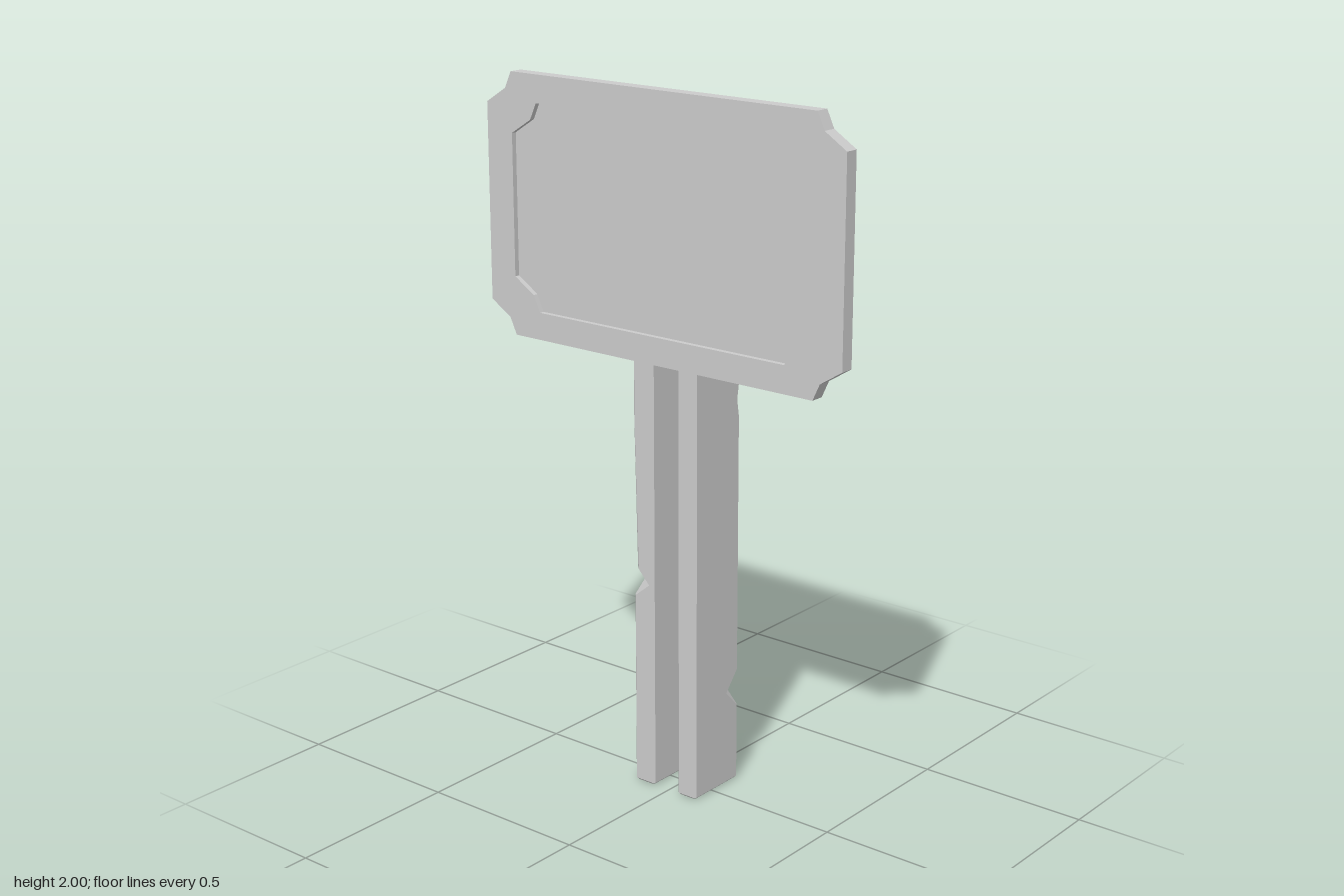
import * as THREE from 'three';

const material = new THREE.MeshStandardMaterial({ color: 0xcccccc, flatShading: true });

// Rectangle outline with notched corners, centred on the origin
function notched(Kind, halfW, halfH) {
  const pts = [];
  for (const [sx, sy, flip] of [[1, 1, 0], [-1, 1, 1], [-1, -1, 0], [1, -1, 1]]) {
    const corner = [[0, 0.09], [0.068, 0.047], [0.09, 0]];
    if (flip) corner.reverse();
    for (const [dx, dy] of corner) pts.push(new THREE.Vector2(sx * (halfW - dx), sy * (halfH - dy)));
  }
  return new Kind(pts);
}

// Slab in the z-y plane, growing from xStart towards -x
function slab(shape, xStart, depth, name) {
  const geo = new THREE.ExtrudeGeometry(shape, { depth, bevelEnabled: false });
  geo.rotateY(-Math.PI / 2);
  const mesh = new THREE.Mesh(geo, material);
  mesh.position.set(xStart, 1.6325, 0);
  mesh.name = name;
  return mesh;
}

// Channel section of the post (x, z); the slot opens towards -x
const SECTION = [
  [0.115, -0.12], [0.115, 0.1], [-0.08, 0.1], [-0.08, 0.035],
  [0.05, 0.035], [0.05, -0.05], [-0.08, -0.05], [-0.08, -0.12],
];
const EDGE = 0.006, HEIGHT = 1.59;

// Chips per section corner: [height, cut size] keys along the edge
const CHIPS = {
  0: [[0.59, EDGE], [0.62, 0.014], [0.65, EDGE]],
  1: [[0.23, EDGE], [0.28, 0.055], [0.34, EDGE], [1.09, EDGE], [1.14, 0.014], [1.19, EDGE]],
  7: [[0.57, EDGE], [0.61, 0.055], [0.65, 0.018], [1.08, EDGE]],
};

function cutAt(corner, y) {
  const keys = CHIPS[corner] || [];
  for (let k = 0; k + 1 < keys.length; k++) {
    const [y0, c0] = keys[k], [y1, c1] = keys[k + 1];
    if (y >= y0 && y <= y1) return c0 + (c1 - c0) * (y - y0) / (y1 - y0);
  }
  return EDGE;
}

// One cross-section: corners cut off, whole outline moved in by inset
function ring(y, inset) {
  const n = SECTION.length, out = [];
  const dir = (a, b) => new THREE.Vector2(b[0] - a[0], b[1] - a[1]).normalize();
  SECTION.forEach((p, i) => {
    const d0 = dir(SECTION[(i + n - 1) % n], p), d1 = dir(p, SECTION[(i + 1) % n]);
    const x = p[0] - inset * (d0.y + d1.y), z = p[1] + inset * (d0.x + d1.x);
    const c = cutAt(i, y);
    out.push(new THREE.Vector3(x - c * d0.x, y, z - c * d0.y));
    out.push(new THREE.Vector3(x + c * d1.x, y, z + c * d1.y));
  });
  return out;
}

function postGeometry() {
  const heights = [EDGE, HEIGHT - EDGE, ...Object.values(CHIPS).flat().map(k => k[0])];
  const sorted = [...new Set(heights)].sort((a, b) => a - b);
  const rings = [ring(0, EDGE), ...sorted.map(y => ring(y, 0)), ring(HEIGHT, EDGE)];
  const verts = [];
  const tri = (...pts) => pts.forEach(p => verts.push(p.x, p.y, p.z));
  // Walls
  for (let r = 0; r + 1 < rings.length; r++) {
    const lo = rings[r], hi = rings[r + 1];
    lo.forEach((a, i) => {
      const j = (i + 1) % lo.length;
      tri(a, hi[i], lo[j]);
      tri(lo[j], hi[i], hi[j]);
    });
  }
  // End caps
  const bottom = rings[0], top = rings[rings.length - 1];
  const flat = bottom.map(p => new THREE.Vector2(p.x, p.z));
  for (const [a, b, c] of THREE.ShapeUtils.triangulateShape(flat, [])) {
    tri(bottom[a], bottom[b], bottom[c]);
    tri(top[a], top[c], top[b]);
  }
  const geo = new THREE.BufferGeometry();
  geo.setAttribute('position', new THREE.Float32BufferAttribute(verts, 3));
  geo.computeVertexNormals();
  return geo;
}

export function createModel() {
  const model = new THREE.Group();
  model.name = 'signpost';

  const post = new THREE.Mesh(postGeometry(), material);
  post.name = 'post';
  model.add(post);

  // Board: solid backing with a raised rim around a sunken panel
  const board = new THREE.Group();
  board.name = 'board';
  board.add(slab(notched(THREE.Shape, 0.6, 0.3675), -0.08, 0.025, 'boardPanel'));
  const rim = notched(THREE.Shape, 0.6, 0.3675);
  rim.holes.push(notched(THREE.Path, 0.51, 0.29));
  board.add(slab(rim, -0.105, 0.015, 'boardRim'));
  model.add(board);

  return model;
}
